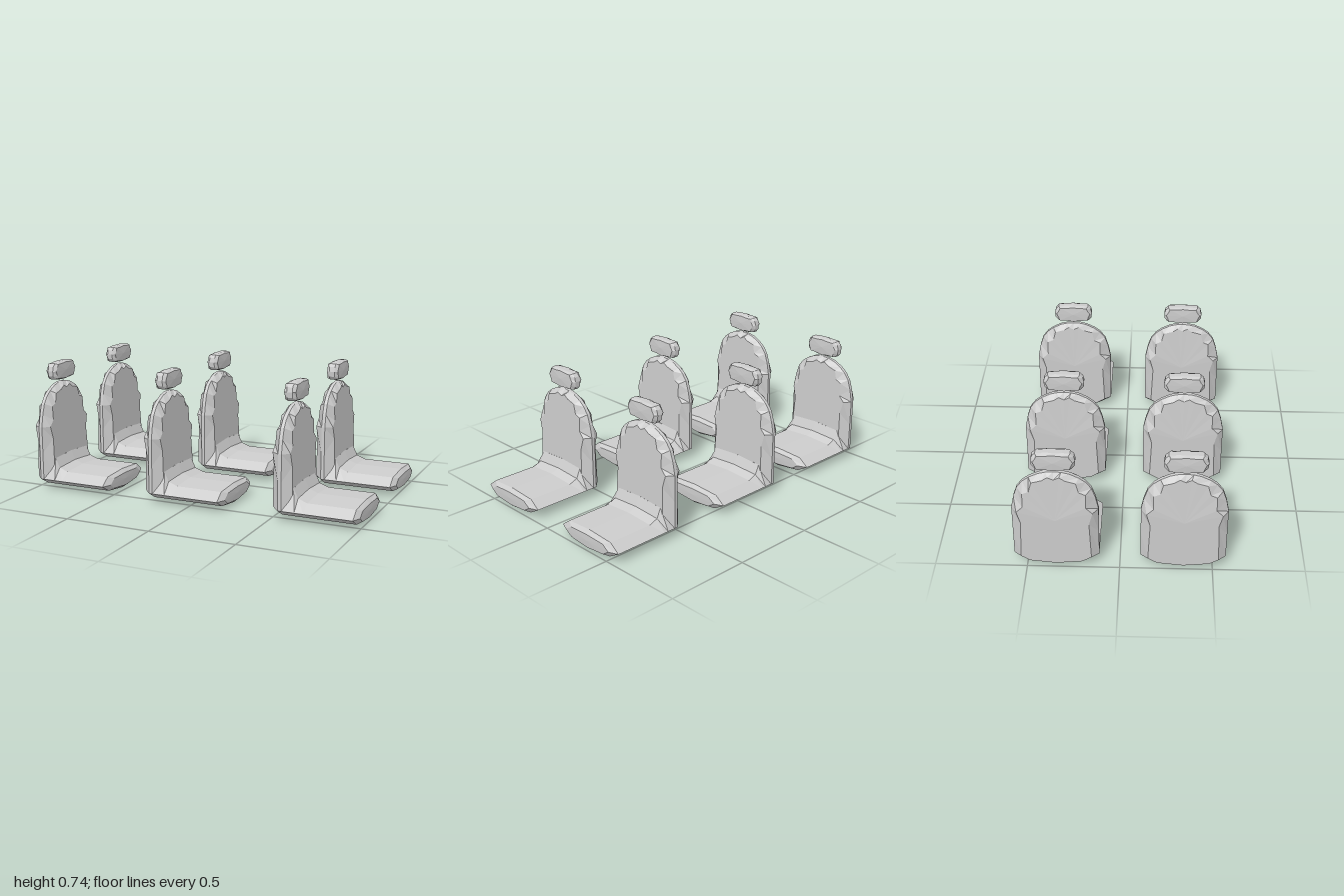
import * as THREE from 'three';

const fabric = new THREE.MeshStandardMaterial({ color: 0xcccccc, flatShading: true });
fabric.name = 'light grey fabric';

// Mirror a half outline of [z, y] (top centre to bottom centre) into a closed loop
const mirror = (half) => [...half, ...half.slice(1, -1).reverse().map(([z, y]) => [-z, y])];

// Place an outline across the seat; x is a number or a function of height
const ring = (half, x) => mirror(half).map(([z, y]) => [typeof x === 'function' ? x(y) : x, y, z]);

// Skin a row of rings along +x and close each end with a fan around a centre point
function loft(name, rings, startCentre, endCentre) {
  const n = rings[0].length;
  const points = [...rings.flat(), startCentre, endCentre];
  const start = rings.length * n, end = start + 1, last = start - n;
  const index = [];
  for (let j = 0; j < n; j++) {
    const k = (j + 1) % n;
    for (let i = 0; i < rings.length - 1; i++) {
      const a = i * n + j, b = i * n + k;
      index.push(a, b, b + n, a, b + n, a + n);
    }
    index.push(start, k, j, end, last + j, last + k);
  }
  const geometry = new THREE.BufferGeometry();
  geometry.setAttribute('position', new THREE.Float32BufferAttribute(points.flat(), 3));
  geometry.setIndex(index);
  geometry.computeVertexNormals();
  const mesh = new THREE.Mesh(geometry, fabric);
  mesh.name = name;
  return mesh;
}

// Cushion: faceted section that sweeps up into the backrest and tapers at the front
function makeCushion() {
  const section = (x, top) =>
    ring([[0, top], [0.17, top - 0.01], [0.23, 0.06], [0.16, 0.02], [0, 0]], x);
  const nose = [[0, 0.095], [0.13, 0.09], [0.175, 0.06], [0.13, 0.03], [0, 0.018]];
  return loft('cushion', [
    section(0.06, 0.19), section(0.112, 0.19), section(0.138, 0.135),
    section(0.19, 0.115), section(0.465, 0.115), ring(nose, 0.488),
  ], [0.06, 0.06, 0], [0.49, 0.06, 0]);
}

// Backrest: arched rim with scalloped front and rear panels
function makeBackrest() {
  const rim = [[0, 0.615], [0.04, 0.612], [0.08, 0.602], [0.13, 0.577], [0.165, 0.55],
    [0.195, 0.51], [0.215, 0.45], [0.23, 0.375], [0.23, 0.22], [0.23, 0.06], [0.16, 0.02], [0, 0]];
  const panel = [[0, 0.58], [0.03, 0.594], [0.06, 0.575], [0.115, 0.56], [0.13, 0.505],
    [0.165, 0.49], [0.165, 0.41], [0.2, 0.375], [0.18, 0.3], [0.19, 0.07], [0.14, 0.04], [0, 0.025]];
  const rear = (y) => Math.max(0, (y - 0.4) * 0.1);
  const front = (y) => 0.12 - 0.045 * y;
  return loft('backrest', [ring(panel, rear), ring(rim, 0.043), ring(rim, 0.063), ring(panel, front)],
    [0, 0.32, 0], [front(0.32), 0.32, 0]);
}

// Headrest: rounded pad with a scalloped edge on both faces
function makeHeadrest() {
  const middle = 0.685;
  const rim = [[0, 0.737], [0.05, 0.737], [0.09, 0.732], [0.108, 0.715], [0.115, 0.688],
    [0.112, 0.658], [0.095, 0.638], [0.05, 0.631], [0, 0.629]];
  const face = rim.map(([z, y], i) => {
    const s = i % 2 ? 0.82 : 0.9;
    return [z * s, middle + (y - middle) * s];
  });
  return loft('headrest', [ring(face, 0.024), ring(rim, 0.043), ring(rim, 0.075), ring(face, 0.092)],
    [0.02, middle, 0], [0.096, middle, 0]);
}

export function createModel() {
  const model = new THREE.Group();
  model.name = 'seats';
  const seat = new THREE.Group();
  seat.add(makeCushion(), makeBackrest(), makeHeadrest());

  // Three rows of two seats, all facing +x
  [-1, -0.272, 0.51].forEach((x, row) => {
    [['right', -0.341], ['left', 0.341]].forEach(([side, z]) => {
      const copy = seat.clone();
      copy.name = `${side}Seat${row + 1}`;
      copy.position.set(x, 0, z);
      model.add(copy);
    });
  });
  return model;
}
